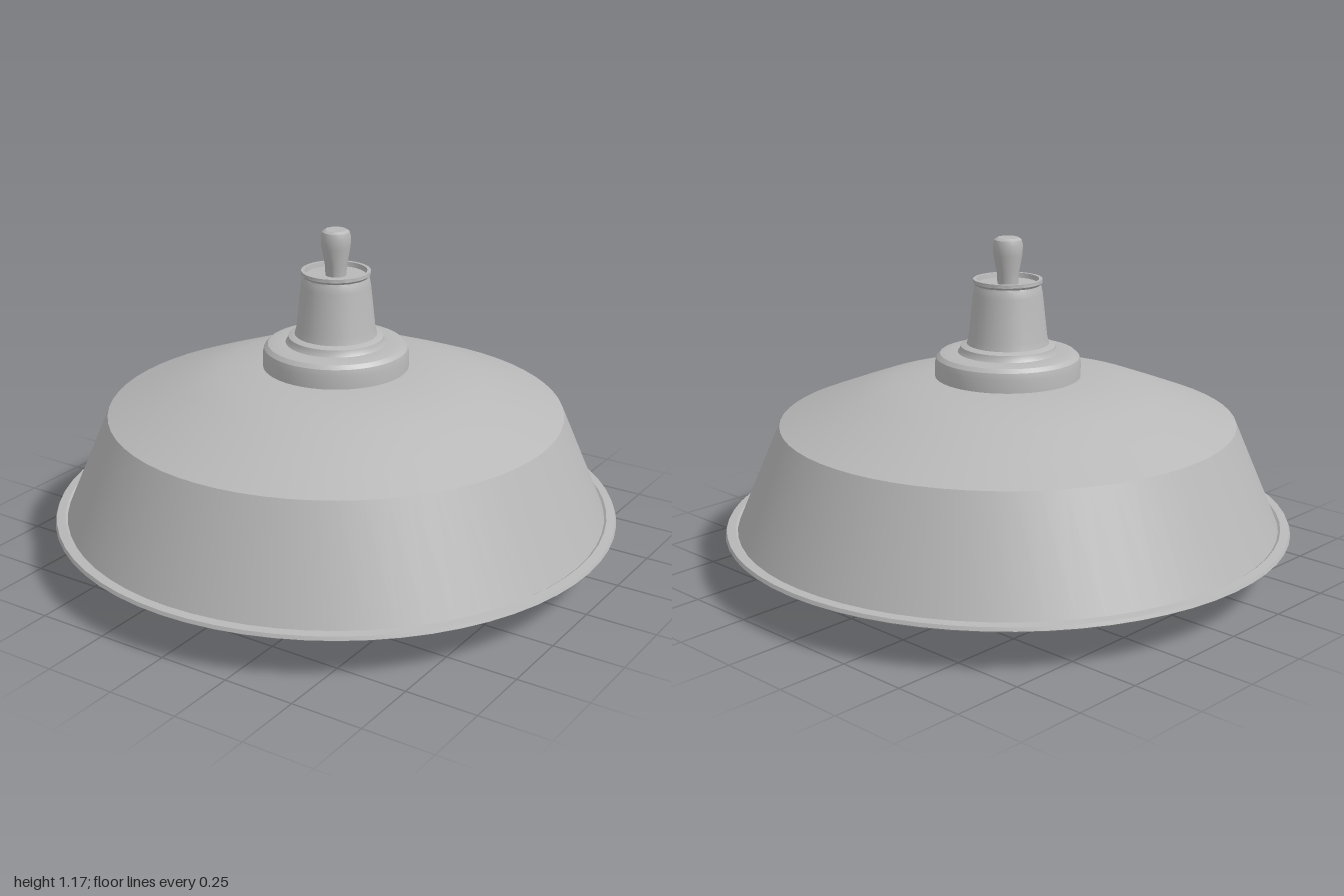
import * as THREE from 'three';
import { toCreasedNormals } from 'three/addons/utils/BufferGeometryUtils.js';

const metal = new THREE.MeshStandardMaterial({ color: 0xb8b8b8 });
metal.name = 'lightGrey';

// Turns a profile of [radius, height] points, listed up the outside
function turned(name, profile, segments) {
  const points = profile.map(([r, y]) => new THREE.Vector2(r, y));
  const geometry = toCreasedNormals(new THREE.LatheGeometry(points, segments), Math.PI / 6);
  const mesh = new THREE.Mesh(geometry, metal);
  mesh.name = name;
  return mesh;
}

export function createModel() {
  const lamp = new THREE.Group();
  lamp.name = 'pendantLamp';

  // Thin shade: outside from rim to crown, then back down the inside
  lamp.add(turned('shade', [
    [0.96, 0.155], [0.8, 0.53], [0.65, 0.59], [0.52, 0.64], [0.4, 0.675], [0.25, 0.69], [0, 0.692],
    [0, 0.68], [0.25, 0.678], [0.4, 0.663], [0.52, 0.628], [0.65, 0.578], [0.79, 0.52], [0.95, 0.155],
  ], 64));

  // Flat lip around the opening
  lamp.add(turned('rim', [
    [0.945, 0.153], [0.96, 0.146], [0.99, 0.146], [1, 0.153], [0.995, 0.165], [0.965, 0.168], [0.945, 0.153],
  ], 64));

  // Rounded collar on the crown, showing as a disc inside the shade
  lamp.add(turned('collar', [
    [0, 0.667], [0.255, 0.667], [0.255, 0.735], [0.25, 0.757], [0.237, 0.77], [0.215, 0.775],
    [0.175, 0.775], [0.168, 0.785], [0.165, 0.797], [0.145, 0.805], [0, 0.805],
  ], 48));

  // Tapered socket cover with a shallow recess in its top
  lamp.add(turned('socketCover', [
    [0.145, 0.8], [0.137, 0.83], [0.121, 0.98], [0.116, 1.005], [0.113, 1.012],
    [0.12, 1.02], [0.12, 1.032], [0.108, 1.032], [0.105, 1.015], [0, 1.015],
  ], 32));

  // Cable grip, wider toward its top
  lamp.add(turned('cableGrip', [
    [0.036, 1.01], [0.038, 1.05], [0.05, 1.115], [0.052, 1.15], [0.047, 1.168], [0.036, 1.175], [0, 1.175],
  ], 24));

  // Slightly flattened bulb
  const bulb = new THREE.Mesh(new THREE.SphereGeometry(0.235, 32, 20), metal);
  bulb.name = 'bulb';
  bulb.scale.y = 0.89;
  bulb.position.y = 0.21;
  lamp.add(bulb);

  return lamp;
}
